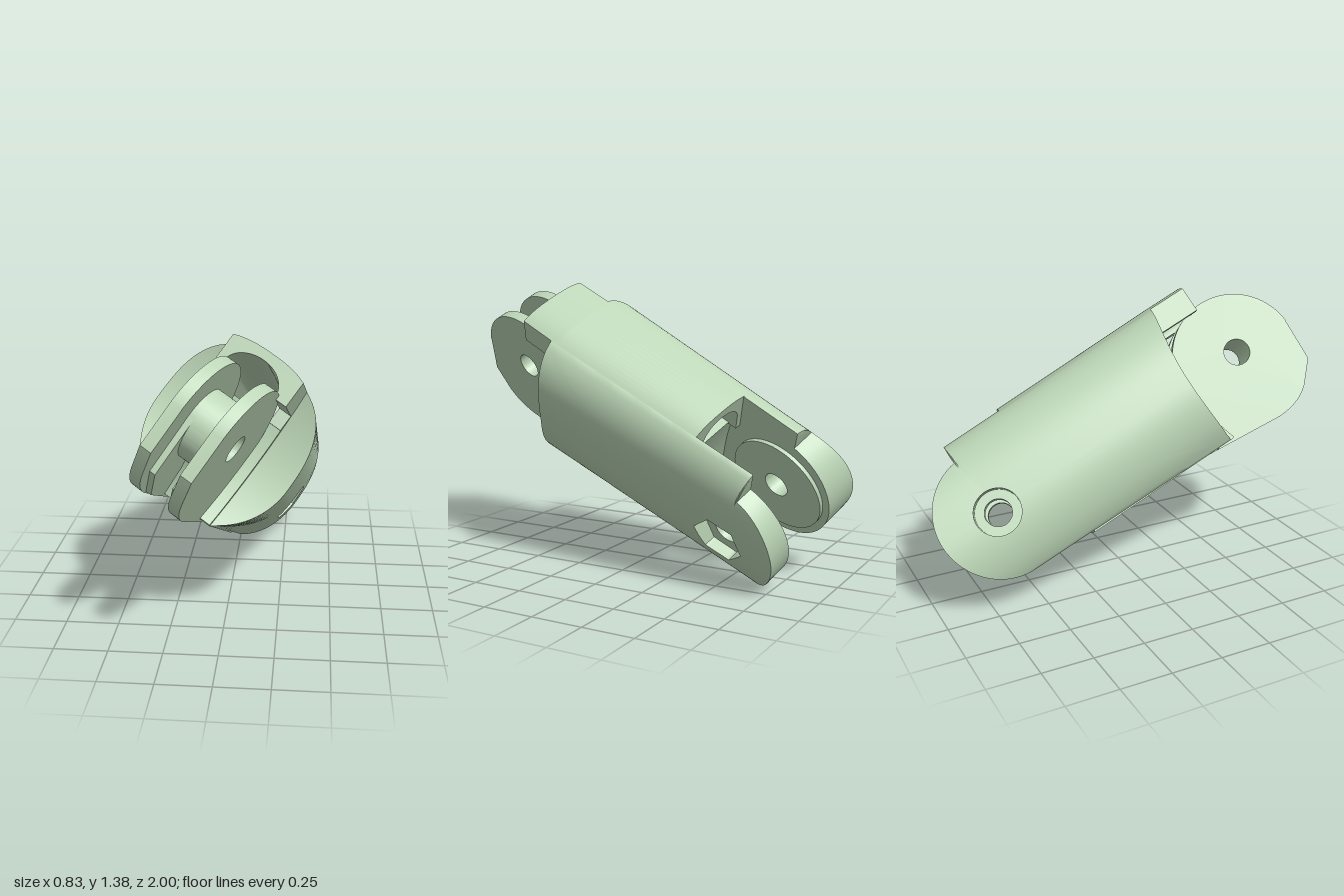
import * as THREE from 'three';
import { toCreasedNormals } from 'three/addons/utils/BufferGeometryUtils.js';

// Local frame: x = hinge axis, z = length of the link (front hinge at +z), y = its top
const HINGE_Y = 0.02, REAR_Z = -0.695, PIN_R = 0.065;
const FRONT_Y = 0.035, FRONT_Z = 0.707;
const HALF = 0.185; // half width of the centre block and of the fork gap

// Rounded top of the body, and half width of its oval section at height y
const POWER = 2.65;
const bodyTop = (x) => 0.03 + 0.435 * (1 - Math.abs(x / 0.37) ** POWER) ** (1 / POWER);
const TOP = bodyTop(HALF);
const bodyX = (y) => {
  const [r, n] = y > 0.03 ? [0.435, POWER] : [0.38, 2];
  const t = Math.min(1, Math.abs(y - 0.03) / r);
  return Math.max(HALF, 0.37 * (1 - t ** n) ** (1 / n));
};
const scoopZ = (y, base) => base + 0.5 * (y - HINGE_Y) ** 2;

const hexRadius = (r) => (a) => {
  const s = Math.PI / 3, m = (((a % s) + s) % s) - s / 2;
  return (r * Math.cos(s / 2)) / Math.cos(m);
};

// The left half narrows towards the rear, the right half swells a little to the front,
// and the top drops slightly towards the rear
function taper(g) {
  const p = g.attributes.position;
  for (let i = 0; i < p.count; i++) {
    const x = p.getX(i), y = p.getY(i), z = Math.min(p.getZ(i), 0.42);
    p.setX(i, x * (x > 0 ? 1 - 0.23 * (0.42 - z) : 1 + 0.06 * Math.max(0, (z + 0.7) / 1.12)));
    if (y > 0) p.setY(i, y * (1 - 0.03 * (0.42 - z)));
  }
  return g;
}

// Side outline as [z, y], anticlockwise around the rear hinge
function sideOutline() {
  const p = [];
  const line = (z0, y0, z1, y1, n) => {
    for (let i = 0; i < n; i++) p.push([z0 + ((z1 - z0) * i) / n, y0 + ((y1 - y0) * i) / n]);
  };
  line(-0.74, TOP, -0.74, 0.33, 4);
  for (let i = 0; i < 36; i++) {
    const a = THREE.MathUtils.degToRad(98.7 + (171.3 * i) / 36);
    p.push([REAR_Z + 0.29 * Math.cos(a), HINGE_Y + 0.313 * Math.sin(a)]);
  }
  line(REAR_Z, -0.293, 0.416, -0.303, 36);
  for (let i = 0; i < 28; i++) {
    const y = -0.303 + ((TOP + 0.303) * i) / 28;
    p.push([scoopZ(y, 0.365), y]);
  }
  line(scoopZ(TOP, 0.365), TOP, -0.74, TOP, 36);
  return p;
}

// Curved side wall with a stepped pin hole, lofted as a closed ring of sections
function sideWall(side, pocketRadius) {
  const rings = 20, floorX = 0.27, pos = [], index = [];
  const outline = sideOutline(), n = outline.length;
  let m = 0;
  for (const [z, y] of outline) {
    const a = Math.atan2(y - HINGE_Y, z - REAR_Z);
    const at = (r) => [REAR_Z + r * Math.cos(a), HINGE_Y + r * Math.sin(a)];
    const hole = at(pocketRadius(a)), pin = at(PIN_R);
    const section = [[HALF - 0.005, z, y]];
    for (let j = 0; j <= rings; j++) {
      const t = j / rings, yy = y + (hole[1] - y) * t;
      section.push([bodyX(yy), z + (hole[0] - z) * t, yy]);
    }
    section.push([floorX, ...hole], [floorX, ...pin], [HALF - 0.005, ...pin]);
    m = section.length;
    for (const [sx, sz, sy] of section) pos.push(side * sx, sy, sz);
  }
  for (let i = 0; i < n; i++) {
    for (let j = 0; j < m; j++) {
      const i2 = (i + 1) % n, j2 = (j + 1) % m;
      const a = i * m + j, b = i * m + j2, c = i2 * m + j2, d = i2 * m + j;
      if (side > 0) index.push(a, b, c, a, c, d);
      else index.push(a, c, b, a, d, c);
    }
  }
  const g = new THREE.BufferGeometry();
  g.setAttribute('position', new THREE.Float32BufferAttribute(pos, 3));
  g.setIndex(index);
  return toCreasedNormals(taper(g), 0.6);
}

// Extrudes a [z, y] side profile across the width, from x0 to x1
function acrossX(shape, x0, x1) {
  const g = new THREE.ExtrudeGeometry(shape, { depth: x1 - x0, bevelEnabled: false, curveSegments: 32 });
  return g.rotateY(-Math.PI / 2).translate(x1, 0, 0);
}

// Extrudes an [x, y] cross-section along the length, from z0 to z1
function alongZ(shape, z0, z1) {
  const g = new THREE.ExtrudeGeometry(shape, { depth: z1 - z0, bevelEnabled: false, curveSegments: 32 });
  return g.translate(0, 0, z0);
}

const smooth = (g) => toCreasedNormals(g, 0.5);

function drill(shape, z, y) {
  shape.holes.push(new THREE.Path().absarc(z, y, PIN_R, 0, Math.PI * 2, true));
  return shape;
}

// Rounded top with a round-headed channel under it; the legs end at height y
function archShape(y) {
  const pts = [];
  for (let i = 0; i <= 16; i++) {
    const x = HALF - (2 * HALF * i) / 16;
    pts.push(new THREE.Vector2(x, bodyTop(x)));
  }
  const s = new THREE.Shape(pts);
  s.lineTo(-HALF, y).lineTo(-0.15, y).lineTo(-0.15, 0.32);
  s.absellipse(-0.015, 0.32, 0.135, 0.1, Math.PI, 0, true);
  s.lineTo(0.12, y).lineTo(HALF, y);
  return s;
}

function coreShape() {
  const s = new THREE.Shape();
  s.moveTo(-0.37, -0.305).lineTo(0.43, -0.305);
  for (let i = 0; i <= 16; i++) {
    const y = -0.3 + (0.54 * i) / 16;
    s.lineTo(scoopZ(y, 0.388), y);
  }
  s.lineTo(-0.385, 0.24);
  s.quadraticCurveTo(-0.34, -0.02, -0.37, -0.305);
  return s;
}

function tongueShape() {
  const s = new THREE.Shape();
  s.moveTo(0.36, -0.312).lineTo(0.7, -0.345);
  s.quadraticCurveTo(0.83, -0.345, 0.9, -0.28);
  s.lineTo(0.99, -0.185).lineTo(1.003, 0.03);
  s.absarc(0.69, 0.02, 0.315, 0.03, Math.PI, false);
  s.lineTo(0.36, 0.02);
  return drill(s, FRONT_Z, FRONT_Y);
}

// Web between the tongue plates; its lower front edge follows the given [z, y] points
function webShape(lowerEdge, startAngle) {
  const s = new THREE.Shape();
  s.moveTo(0.36, -0.305);
  for (const [z, y] of lowerEdge) s.lineTo(z, y);
  s.absarc(FRONT_Z, FRONT_Y, 0.165, startAngle, Math.PI / 2, false);
  s.lineTo(0.36, 0.2);
  return drill(s, FRONT_Z, FRONT_Y);
}

export function createModel() {
  const sage = new THREE.MeshStandardMaterial({ color: 0xbcd6b7 });
  sage.name = 'sage green plastic';
  const model = new THREE.Group();
  model.name = 'fingerLink';
  const add = (name, geometry) => {
    const mesh = new THREE.Mesh(geometry, sage);
    mesh.name = name;
    model.add(mesh);
  };

  // Side walls: hexagonal nut pocket on the left, round bolt pocket on the right
  add('leftSideWall', sideWall(1, hexRadius(0.13)));
  add('rightSideWall', sideWall(-1, () => 0.11));

  // Centre block, crown with the cord channel, and the lip over the front hinge
  add('centreBlock', smooth(taper(acrossX(coreShape(), -HALF, HALF))));
  add('crown', smooth(taper(alongZ(archShape(0.23), -0.43, 0.42))));
  add('frontLip', smooth(taper(alongZ(archShape(0.31), 0.42, 0.643))));

  // Front hinge tongue: two thin plates around a web with a cord channel below
  const sideWeb = webShape([[0.7, -0.335], [0.845, -0.25]], 0);
  add('leftTonguePlate', smooth(acrossX(tongueShape(), 0.075, 0.132)));
  add('rightTonguePlate', smooth(acrossX(tongueShape(), -0.132, -0.075)));
  add('leftWeb', smooth(acrossX(sideWeb, 0.047, 0.075)));
  add('rightWeb', smooth(acrossX(sideWeb, -0.075, -0.047)));
  add('middleWeb', smooth(acrossX(webShape([[0.52, -0.305], [0.56, -0.16]], -2.2), -0.047, 0.047)));

  // Raised discs inside the rear fork
  const disc = new THREE.Shape().absarc(REAR_Z, HINGE_Y, 0.255, 0, Math.PI * 2, false);
  drill(disc, REAR_Z, HINGE_Y);
  add('leftForkDisc', smooth(taper(acrossX(disc, HALF - 0.025, HALF - 0.005))));
  add('rightForkDisc', smooth(taper(acrossX(disc, 0.005 - HALF, 0.025 - HALF))));

  // Tilted resting pose
  const zAxis = new THREE.Vector3(-0.08, 0.46, 0.885).normalize();
  const xAxis = new THREE.Vector3(0.818, -0.476, 0.321);
  const yAxis = new THREE.Vector3().crossVectors(zAxis, xAxis).normalize();
  xAxis.crossVectors(yAxis, zAxis);
  model.quaternion.setFromRotationMatrix(new THREE.Matrix4().makeBasis(xAxis, yAxis, zAxis));
  model.position.set(0, 0.68, 0.01);

  const root = new THREE.Group();
  root.name = 'jointedLink';
  root.add(model);
  return root;
}
